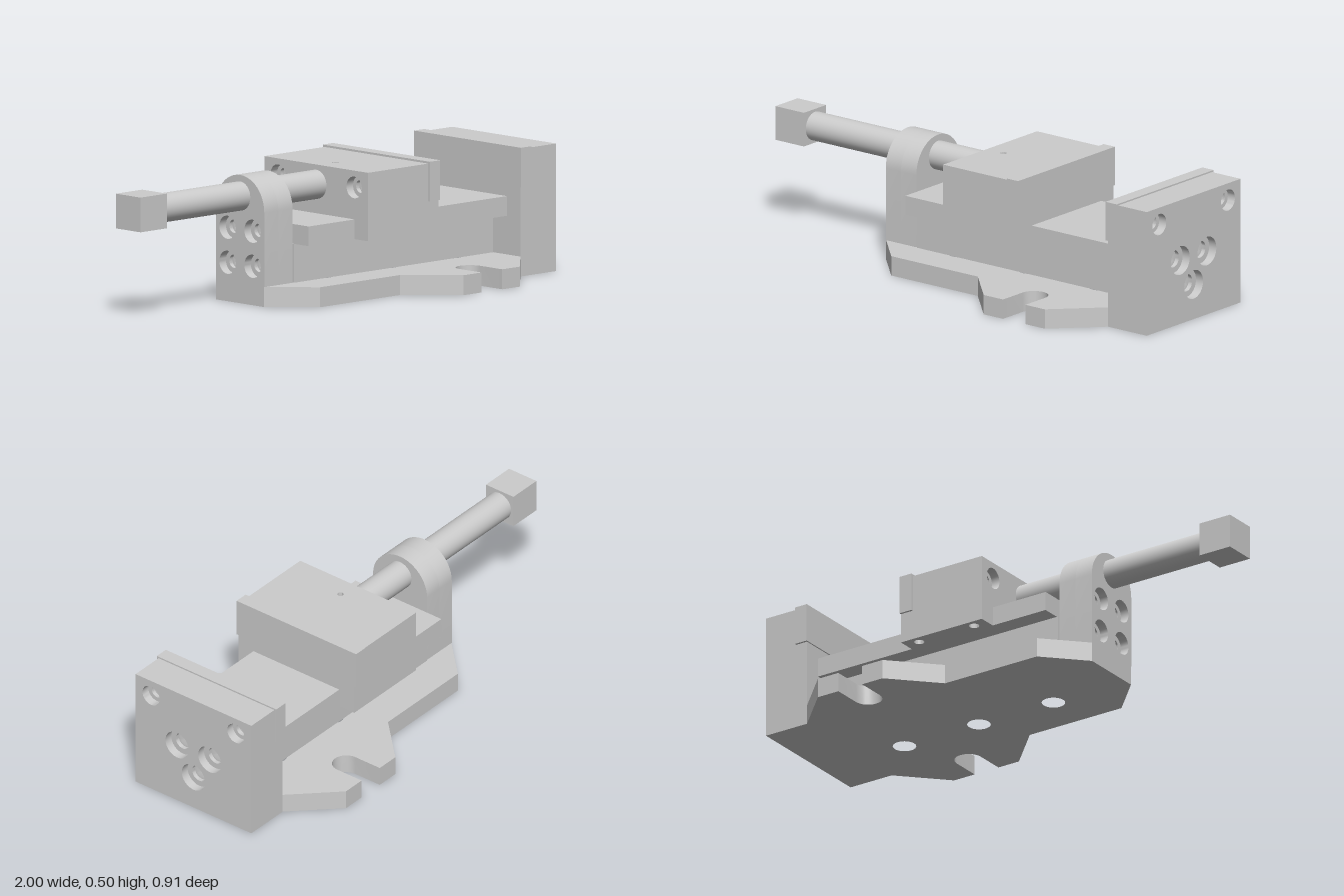
import * as THREE from 'three';
import { toCreasedNormals } from 'three/addons/utils/BufferGeometryUtils.js';

const material = new THREE.MeshStandardMaterial({ color: 0xcccccc });
const twoSided = new THREE.MeshStandardMaterial({ color: 0xcccccc, side: THREE.DoubleSide });

export function createModel() {
  const model = new THREE.Group();

  const add = (name, geometry, mat = material) => {
    const mesh = new THREE.Mesh(geometry, mat);
    mesh.name = name;
    model.add(mesh);
    return mesh;
  };

  // Box given by its limits on each axis
  const block = (name, x0, x1, y0, y1, z0, z1) =>
    add(name, new THREE.BoxGeometry(x1 - x0, y1 - y0, z1 - z0)
      .translate((x0 + x1) / 2, (y0 + y1) / 2, (z0 + z1) / 2));

  // Extrusion of an outline with round holes [a, b, radius]
  const extrude = (points, holes, depth) => {
    const shape = new THREE.Shape(points.map(([a, b]) => new THREE.Vector2(a, b)));
    for (const [a, b, r] of holes) {
      shape.holes.push(new THREE.Path().absarc(a, b, r, 0, Math.PI * 2, true));
    }
    const geometry = new THREE.ExtrudeGeometry(shape, { depth, bevelEnabled: false, curveSegments: 16 });
    return toCreasedNormals(geometry, 0.6);
  };
  // Outline in (x, -z), raised from y0 to y1
  const plate = (name, points, holes, y0, y1) =>
    add(name, extrude(points, holes, y1 - y0).rotateX(-Math.PI / 2).translate(0, y0, 0));
  // Outline in (-z, y), running from x0 to x1
  const section = (name, points, holes, x0, x1) =>
    add(name, extrude(points, holes, x1 - x0).rotateY(Math.PI / 2).translate(x0, 0, 0));
  const rect = (a0, a1, b0, b1) => [[a0, b0], [a1, b0], [a1, b1], [a0, b1]];

  // Stepped floor of a screw recess, facing +x (dir 1) or -x (dir -1)
  const recess = (x, dir, [a, y, R], r) => {
    const profile = [[0, -0.06], [r * 0.7, -0.052], [r, -0.052], [r, -0.035], [R, -0.035]]
      .map(([p, q]) => new THREE.Vector2(p, q));
    const geometry = toCreasedNormals(new THREE.LatheGeometry(profile, 32), 0.5);
    geometry.rotateZ(-dir * Math.PI / 2).translate(x, y, -a);
    add('screwRecess', geometry, twoSided);
  };

  // Base plate with wings, clamping slots and underside holes
  const half = [[-0.405, 0.13], [-0.255, 0.283], [0.17, 0.283], [0.34, 0.456], [0.435, 0.456]];
  for (let i = 0; i <= 16; i++) {
    const t = Math.PI * (1 + i / 16);
    half.push([0.49 + 0.055 * Math.cos(t), 0.337 + 0.055 * Math.sin(t)]);
  }
  half.push([0.545, 0.456], [0.64, 0.456], [0.81, 0.283], [1, 0.283]);
  const outline = [...half, ...half.map(([x, z]) => [x, -z]).reverse()];
  const baseHoles = [];
  for (const x of [-0.07, 0.275, 0.62]) for (const z of [-0.095, 0.095]) baseHoles.push([x, z, 0.045]);
  plate('basePlate', outline, baseHoles, 0, 0.077);

  // T-shaped slide rail
  block('railWeb', -0.25, 0.81, 0.077, 0.226, -0.135, 0.135);
  block('railTop', -0.245, 0.81, 0.226, 0.302, -0.21, 0.21);

  // Fixed jaw with a step for its gripping plate
  const fixedHoles = [[-0.207, 0.425, 0.042], [0.207, 0.425, 0.042],
    [-0.08, 0.252, 0.057], [0.08, 0.252, 0.057], [0, 0.138, 0.057]];
  section('fixedJaw', rect(-0.283, 0.283, 0.077, 0.492), fixedHoles, 0.86, 1);
  block('fixedJawStep', 0.81, 0.86, 0.077, 0.345, -0.283, 0.283);
  block('fixedJawPlate', 0.805, 0.86, 0.345, 0.498, -0.292, 0.292);
  fixedHoles.forEach((hole) => recess(1, 1, hole, hole[2] * 0.6));

  // Moving jaw: drilled rear, body with oil hole, cheeks around the rail
  const jawHoles = [[-0.207, 0.425, 0.042], [0.207, 0.425, 0.042]];
  section('movingJawRear', rect(-0.283, 0.283, 0.302, 0.49), jawHoles, 0, 0.062);
  jawHoles.forEach((hole) => recess(0, -1, hole, 0.025));
  block('movingJawBody', 0.062, 0.32, 0.302, 0.42, -0.283, 0.283);
  plate('movingJawTop', rect(0.062, 0.32, -0.283, 0.283), [[0.082, -0.02, 0.012]], 0.42, 0.49);
  block('movingJawStep', 0.32, 0.375, 0.302, 0.345, -0.283, 0.283);
  block('movingJawPlate', 0.32, 0.375, 0.345, 0.498, -0.292, 0.292);
  for (const s of [-1, 1]) {
    const [z0, z1] = s > 0 ? [0.21, 0.283] : [-0.283, -0.21];
    plate('movingJawCheek', rect(0, 0.375, z0, z1),
      [[0.06, s * 0.247, 0.02], [0.315, s * 0.247, 0.02]], 0.226, 0.302);
  }

  // Arched screw bracket
  const arch = [[-0.132, 0.077], [0.132, 0.077]];
  for (let i = 0; i <= 24; i++) {
    const t = Math.PI * i / 24;
    arch.push([0.132 * Math.cos(t), 0.363 + 0.132 * Math.sin(t)]);
  }
  const bracketHoles = [];
  for (const a of [-0.068, 0.068]) for (const y of [0.15, 0.285]) bracketHoles.push([a, y, 0.045]);
  section('bracketRear', arch, bracketHoles, -0.405, -0.33);
  section('bracketFront', arch, [], -0.33, -0.255);
  bracketHoles.forEach((hole) => recess(-0.405, -1, hole, 0.026));

  // Lead screw and square drive head
  add('leadScrew', new THREE.CylinderGeometry(0.056, 0.056, 0.87, 40)
    .rotateZ(Math.PI / 2).translate(-0.43, 0.414, 0));
  block('driveHead', -1, -0.86, 0.347, 0.481, -0.067, 0.067);

  return model;
}
